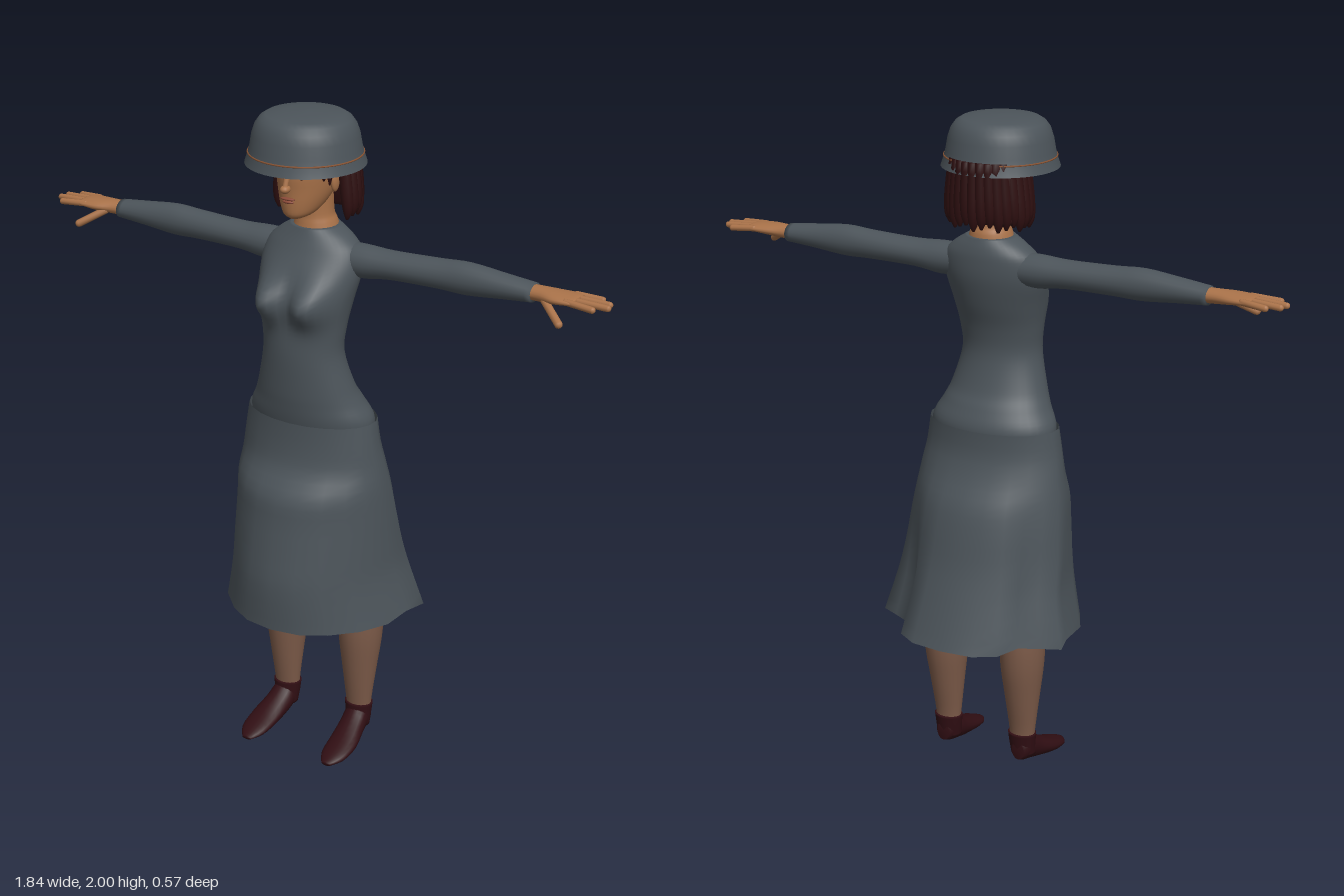
import * as THREE from 'three';

const paint = (name, color, double) => {
  const m = new THREE.MeshStandardMaterial({ color });
  m.name = name;
  if (double) m.side = THREE.DoubleSide;
  return m;
};

// Surface through rings of points; each ring wraps round, ends may be capped
function skin(rings, caps = true) {
  const n = rings[0].length, pos = rings.flat(2), idx = [];
  for (let j = 0; j < rings.length - 1; j++)
    for (let i = 0; i < n; i++) {
      const a = j * n + i, b = j * n + (i + 1) % n;
      idx.push(a, a + n, b, b, a + n, b + n);
    }
  if (caps) [0, rings.length - 1].forEach((j) => {
    const c = pos.length / 3;
    for (let k = 0; k < 3; k++) pos.push(rings[j].reduce((s, p) => s + p[k], 0) / n);
    for (let i = 0; i < n; i++) {
      const a = j * n + i, b = j * n + (i + 1) % n;
      if (j) idx.push(a, c, b); else idx.push(a, b, c);
    }
  });
  const g = new THREE.BufferGeometry();
  g.setAttribute('position', new THREE.Float32BufferAttribute(pos, 3));
  g.setIndex(idx);
  g.computeVertexNormals();
  return g;
}

// Smoothly fills in steps between rows of numbers
function smoothRows(keys, steps) {
  const out = [], at = (i) => keys[Math.max(0, Math.min(keys.length - 1, i))];
  for (let i = 0; i < keys.length - 1; i++)
    for (let s = 0; s < steps; s++) {
      const t = s / steps;
      out.push(keys[i].map((_, k) => {
        const [a, b, c, d] = [at(i - 1)[k], at(i)[k], at(i + 1)[k], at(i + 2)[k]];
        return 0.5 * (2 * b + (c - a) * t + (2 * a - 5 * b + 4 * c - d) * t * t + (3 * b - a - 3 * c + d) * t ** 3);
      }));
    }
  out.push(keys[keys.length - 1]);
  return out;
}

// Oval sections along an axis. Row: [position, centre, half width, high, low]
// y: width in x, high/low in z; x: width in z, high/low in y; z: width in y, high/low in x
function loft(axis, keys, n = 20, steps = 4, shape) {
  return skin(smoothRows(keys, steps).map(([t, c, r, hi, lo]) =>
    Array.from({ length: n }, (_, i) => {
      const a = i / n * Math.PI * 2;
      const u = c + r * Math.cos(a), v = (hi + lo) / 2 + (hi - lo) / 2 * Math.sin(a);
      const p = axis === 'y' ? [u, t, v] : axis === 'x' ? [t, v, u] : [v, u, t];
      return shape ? shape(p, a) : p;
    })));
}

// Rounded rod between two points
function rod(a, b, r) {
  const A = new THREE.Vector3(...a), B = new THREE.Vector3(...b), d = B.clone().sub(A);
  const g = new THREE.CapsuleGeometry(r, d.length(), 4, 10);
  g.applyQuaternion(new THREE.Quaternion().setFromUnitVectors(new THREE.Vector3(0, 1, 0), d.normalize()));
  return g.translate(...A.add(B).multiplyScalar(0.5).toArray());
}

const blob = (x, y, z, sx, sy, sz) => new THREE.SphereGeometry(1, 14, 10).scale(sx, sy, sz).translate(x, y, z);

function mirrored(geo) {
  const g = geo.clone().scale(-1, 1, 1), ix = g.index.array;
  for (let i = 0; i < ix.length; i += 3) [ix[i + 1], ix[i + 2]] = [ix[i + 2], ix[i + 1]];
  g.computeVertexNormals();
  return g;
}

export function createModel() {
  const model = new THREE.Group();
  const cloth = paint('slate cloth', 0x4c545a);
  const clothOpen = paint('slate cloth open', 0x4c545a, true);
  const flesh = paint('skin', 0xa97249);
  const stocking = paint('stocking', 0x7d5b49);
  const hair = paint('dark hair', 0x2e0f10);
  const leather = paint('shoe leather', 0x300e13);
  const trim = paint('hat trim', 0x8a5535);
  const lip = paint('lips', 0x8a4a38);

  const add = (name, geo, mat) => {
    const m = new THREE.Mesh(geo, mat);
    m.name = name;
    model.add(m);
  };
  const pair = (name, geo, mat) => {
    add('left' + name, geo, mat);
    add('right' + name, mirrored(geo), mat);
  };

  // Bodice, with the bust raised on the front half
  add('bodice', loft('y', [
    [1.0, 0, 0.185, 0.14, -0.07], [1.09, 0, 0.198, 0.163, -0.083], [1.15, 0, 0.17, 0.173, -0.06],
    [1.2, 0, 0.15, 0.178, -0.032], [1.3, 0, 0.125, 0.183, -0.005], [1.38, 0, 0.13, 0.18, -0.012],
    [1.46, 0, 0.143, 0.175, -0.037], [1.54, 0, 0.157, 0.15, -0.057], [1.6, 0, 0.148, 0.118, -0.06],
    [1.635, 0, 0.115, 0.1, -0.055], [1.662, 0, 0.072, 0.088, -0.045],
  ], 40, 5, ([x, y, z], a) => {
    const d = ((Math.abs(x) - 0.07) / 0.05) ** 2 + ((y - 1.465) / 0.06) ** 2;
    return [x, y, z + (Math.sin(a) > 0 ? 0.062 * Math.exp(-d) : 0)];
  }), cloth);

  // Sleeves
  pair('Sleeve', loft('x', [
    [0.07, 0.02, 0.05, 1.62, 1.53], [0.16, 0.02, 0.05, 1.622, 1.524], [0.25, 0.018, 0.046, 1.618, 1.535],
    [0.4, 0.015, 0.043, 1.623, 1.537], [0.49, 0.015, 0.042, 1.628, 1.535], [0.6, 0.014, 0.038, 1.617, 1.545],
    [0.69, 0.012, 0.034, 1.607, 1.552],
  ]), cloth);

  // Hands
  pair('Palm', loft('x', [
    [0.66, 0.012, 0.027, 1.602, 1.558], [0.71, 0.013, 0.031, 1.602, 1.56], [0.76, 0.016, 0.044, 1.6, 1.565],
    [0.81, 0.014, 0.047, 1.596, 1.572], [0.825, 0.014, 0.042, 1.592, 1.576],
  ]), flesh);
  [[-0.022, 0.872, -0.031], [0.002, 0.905, -0.005], [0.026, 0.912, 0.022], [0.048, 0.882, 0.055]].forEach(
    ([z0, x1, z1], i) => pair('Finger' + (i + 1), rod([0.8, 1.585, z0], [x1, 1.58, z1], 0.0095), flesh));
  pair('Thumb', rod([0.735, 1.572, 0.04], [0.8, 1.533, 0.085], 0.0115), flesh);

  // Skirt: oval waist blending into a hem that is lobed at the back
  const hem = [[0, -0.285], [0.1, -0.275], [0.165, -0.235], [0.19, -0.155], [0.25, -0.125], [0.305, -0.1],
    [0.285, -0.03], [0.28, 0.07], [0.235, 0.155], [0.165, 0.225], [0.09, 0.268], [0, 0.282]];
  const last = hem.length - 1;
  const half = (w, hi, lo, k) => hem.map(([hx, hz], i) => {
    const a = i / last * Math.PI;
    const ez = (hi + lo) / 2 - (hi - lo) / 2 * Math.cos(a);
    const oz = hz > 0 ? hz / 0.282 * hi : -hz / 0.285 * lo;
    return [THREE.MathUtils.lerp(w * Math.sin(a), hx / 0.305 * w, k), THREE.MathUtils.lerp(ez, oz, k)];
  });
  const skirtRows = [[0.47, 0.305, 0.282, -0.285, 1], [0.6, 0.272, 0.285, -0.238, 0.85],
    [0.7, 0.26, 0.27, -0.205, 0.6], [0.8, 0.251, 0.252, -0.182, 0.4], [0.88, 0.242, 0.238, -0.158, 0.25],
    [0.95, 0.231, 0.19, -0.118, 0.1], [1.02, 0.218, 0.174, -0.093, 0], [1.093, 0.206, 0.17, -0.09, 0]];
  add('skirt', skin(smoothRows(skirtRows, 3).map(([y, w, hi, lo, k]) => {
    const h = half(w, hi, lo, k);
    return [...h, ...h.slice(1, -1).reverse().map(([x, z]) => [-x, z])].map(([x, z]) => [x, y, z]);
  }), false), clothOpen);

  // Legs, with short breeches under the skirt
  pair('Leg', loft('y', [
    [0.08, 0.13, 0.038, 0.01, -0.046], [0.14, 0.13, 0.042, 0.018, -0.05], [0.25, 0.131, 0.054, 0.035, -0.072],
    [0.36, 0.132, 0.066, 0.05, -0.092], [0.47, 0.132, 0.068, 0.056, -0.094], [0.62, 0.126, 0.072, 0.08, -0.07],
  ]), stocking);
  pair('Breeches', loft('y', [
    [0.55, 0.128, 0.078, 0.08, -0.092], [0.7, 0.12, 0.085, 0.1, -0.08], [0.9, 0.1, 0.095, 0.13, -0.075],
    [1.05, 0.09, 0.09, 0.14, -0.07],
  ]), cloth);

  // Shoes
  pair('Shoe', loft('z', [
    [-0.048, 0.068, 0.028, 0.152, 0.112], [-0.03, 0.076, 0.044, 0.166, 0.098], [0.005, 0.07, 0.047, 0.172, 0.093],
    [0.04, 0.053, 0.038, 0.178, 0.094], [0.1, 0.032, 0.026, 0.19, 0.097], [0.16, 0.018, 0.016, 0.185, 0.105],
    [0.2, 0.01, 0.006, 0.16, 0.128],
  ], 18, 3), leather);
  pair('ShoeCollar', loft('y', [
    [0.05, 0.131, 0.038, 0.03, -0.045], [0.09, 0.13, 0.042, 0.022, -0.05], [0.122, 0.13, 0.045, 0.02, -0.054],
  ]), leather);

  // Neck and head
  add('neck', loft('y', [
    [1.63, 0, 0.075, 0.09, -0.045], [1.672, 0, 0.062, 0.082, -0.04], [1.7, 0, 0.053, 0.078, -0.03],
    [1.77, 0, 0.053, 0.08, -0.03],
  ]), flesh);
  add('head', loft('y', [
    [1.706, 0, 0.02, 0.15, 0.09], [1.718, 0, 0.042, 0.163, 0.05], [1.745, 0, 0.06, 0.168, 0.0],
    [1.79, 0, 0.075, 0.171, -0.045], [1.85, 0, 0.08, 0.176, -0.06], [1.92, 0, 0.072, 0.155, -0.05],
    [1.965, 0, 0.03, 0.1, 0.01],
  ], 28), flesh);
  add('noseTip', blob(0, 1.8, 0.182, 0.014, 0.012, 0.018), flesh);
  add('noseBridge', rod([0, 1.803, 0.184], [0, 1.842, 0.17], 0.008), flesh);
  add('upperLip', blob(0, 1.769, 0.17, 0.024, 0.0045, 0.008), lip);
  add('lowerLip', blob(0, 1.76, 0.168, 0.019, 0.005, 0.008), lip);
  pair('Eye', blob(0.033, 1.832, 0.159, 0.015, 0.006, 0.006), hair);
  pair('Ear', blob(0.083, 1.805, 0.055, 0.01, 0.032, 0.018).rotateX(0), flesh);

  // Hair: a full core at the back of the head with hanging locks around it
  add('hairCore', loft('y', [
    [1.715, 0, 0.108, 0.0, -0.08], [1.78, 0, 0.112, 0.025, -0.088], [1.86, 0, 0.108, 0.03, -0.085],
    [1.93, 0, 0.08, 0.06, -0.06],
  ]), hair);
  for (let i = 0; i <= 18; i++) {
    const a = -0.32 + i / 18 * (Math.PI + 0.64), side = Math.cos(a), back = Math.sin(a);
    const x = 0.112 * side, z = 0.01 - 0.092 * back, r = 0.019, low = 1.692 + 0.014 * ((i * 7) % 3) / 2;
    add('lock' + (i + 1), loft('y', [
      [low, x * 1.06, 0.004, z + 0.004, z - 0.004], [low + 0.03, x * 1.08, 0.015, z + 0.015, z - 0.015],
      [low + 0.09, x * 1.03, r, z + r, z - r], [1.89, x * 0.93, 0.016, z + 0.016, z - 0.016],
    ], 9, 3), hair);
  }
  [0.085, 0.105, 0.125].forEach((z, i) => pair('Fringe' + (i + 1), loft('y', [
    [1.8 + i * 0.016, 0.084 - i * 0.007, 0.002, z + 0.003, z - 0.003],
    [1.84, 0.084 - i * 0.007, 0.009, z + 0.012, z - 0.012], [1.9, 0.08 - i * 0.007, 0.01, z + 0.014, z - 0.014],
  ], 8, 3), hair));

  // Hat, open below, with a thin trim line
  const crown = [[0.172, 1.853], [0.166, 1.87], [0.158, 1.9], [0.152, 1.935], [0.143, 1.962],
    [0.13, 1.98], [0.112, 1.991], [0.06, 1.998], [0, 2.0]].map((p) => new THREE.Vector2(...p));
  add('hat', new THREE.LatheGeometry(crown, 40).translate(0, 0, 0.075), clothOpen);
  add('hatTrim', new THREE.TorusGeometry(0.1625, 0.0025, 6, 48).rotateX(Math.PI / 2).translate(0, 1.884, 0.075), trim);

  return model;
}
